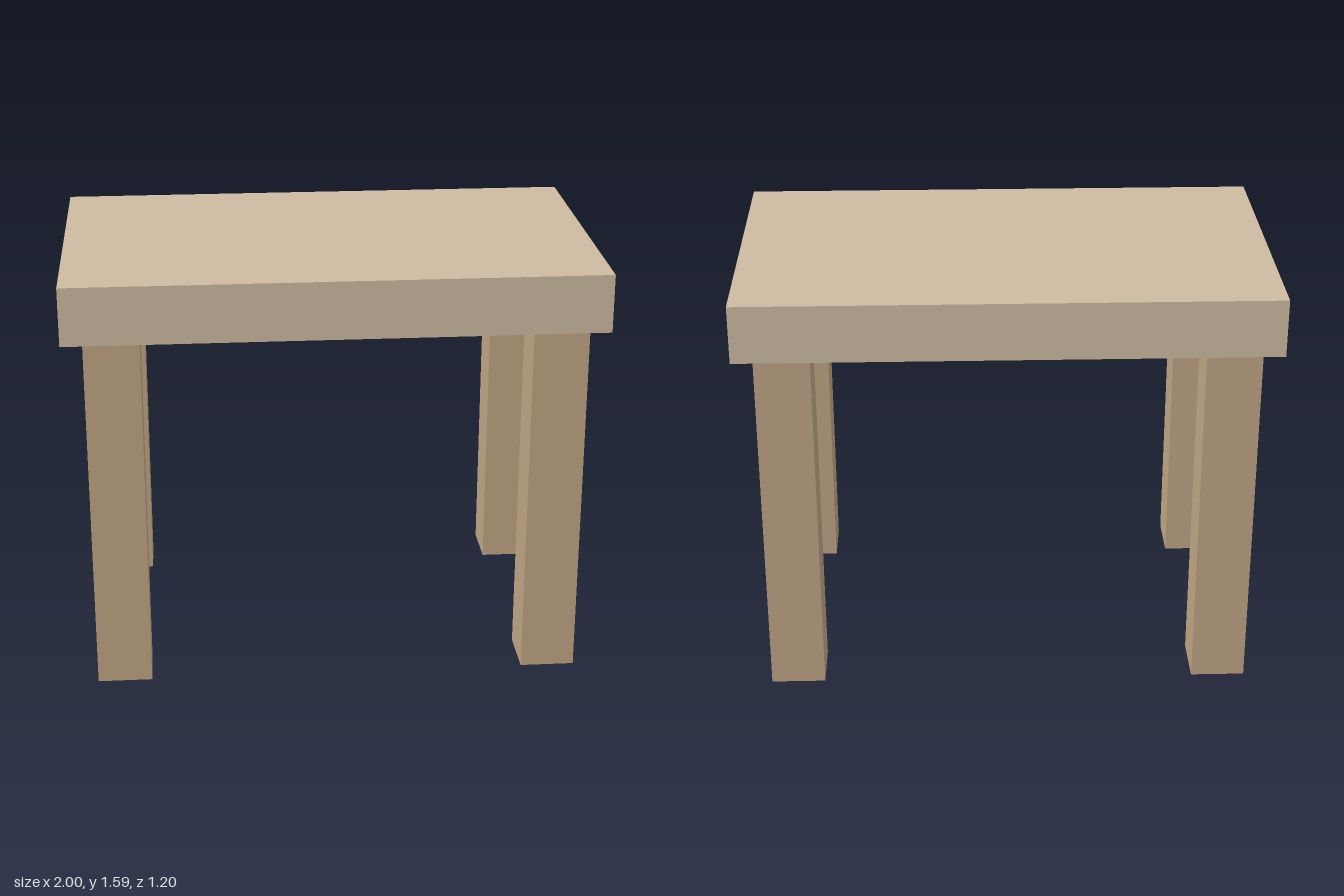
import * as THREE from 'three';

export function createModel() {
  const table = new THREE.Group();
  table.name = 'table';

  const topMaterial = new THREE.MeshStandardMaterial({ color: 0xcdbba0 });
  const legMaterial = new THREE.MeshStandardMaterial({ color: 0xbfa584 });

  // Thick slab top
  const topHeight = 1.585, topThickness = 0.22;
  const top = new THREE.Mesh(new THREE.BoxGeometry(2, topThickness, 1.198), topMaterial);
  top.name = 'tableTop';
  top.position.y = topHeight - topThickness / 2;
  table.add(top);

  // Four square legs, inset at the ends and nearly flush at front and back
  const legHeight = topHeight - topThickness;
  const legGeometry = new THREE.BoxGeometry(0.205, legHeight, 0.206);
  for (const [xName, x] of [['Left', 0.817], ['Right', -0.817]]) {
    for (const [zName, z] of [['front', 0.491], ['back', -0.489]]) {
      const leg = new THREE.Mesh(legGeometry, legMaterial);
      leg.name = `${zName}${xName}Leg`;
      leg.position.set(x, legHeight / 2, z);
      table.add(leg);
    }
  }

  return table;
}
